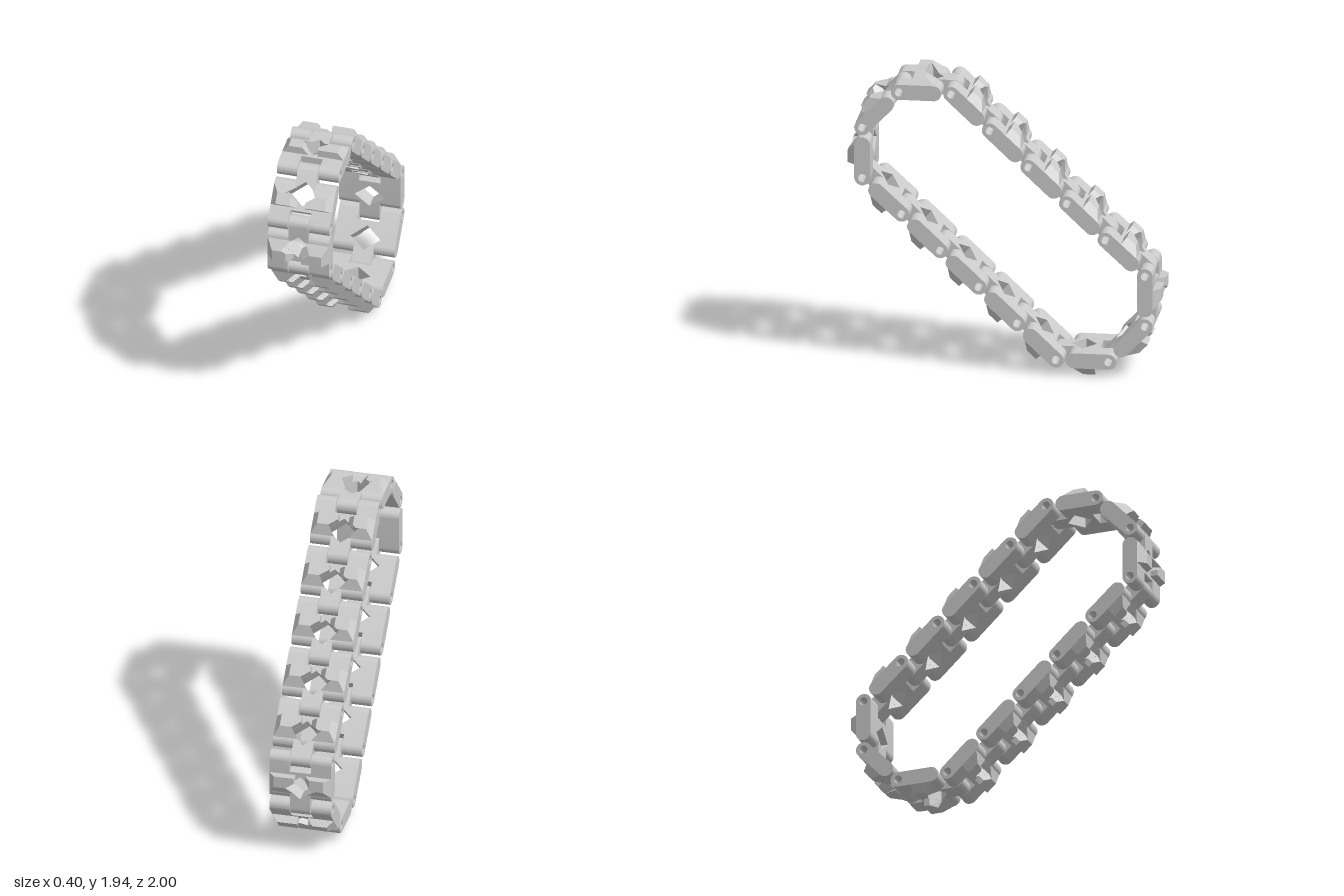
import * as THREE from 'three';
import { toCreasedNormals } from 'three/addons/utils/BufferGeometryUtils.js';

const R = 0.05;      // half thickness of a link
const PIN = 0.027;   // pin hole radius
const PITCH = 0.336; // distance between pins

// Link frame: X runs along the chain, Y points out of the loop, Z is the width.

// Side profile with optional round ends and pin hole, extruded across the width
function bar(s0, s1, z0, z1, { roundStart = false, roundEnd = false, hole = null }) {
  const shape = new THREE.Shape();
  shape.moveTo(s0, -R);
  shape.lineTo(s1, -R);
  if (roundEnd) shape.absarc(s1, 0, R, -Math.PI / 2, Math.PI / 2, false);
  else shape.lineTo(s1, R);
  shape.lineTo(s0, R);
  if (roundStart) shape.absarc(s0, 0, R, Math.PI / 2, Math.PI * 1.5, false);
  if (hole !== null) {
    const h = new THREE.Path();
    h.absarc(hole, 0, PIN, 0, Math.PI * 2, true);
    shape.holes.push(h);
  }
  const g = new THREE.ExtrudeGeometry(shape, { depth: z1 - z0, bevelEnabled: false, curveSegments: 14 });
  g.translate(0, 0, z0);
  return toCreasedNormals(g, 0.6);
}

// Middle plate with a diamond opening
function plateGeometry() {
  const shape = new THREE.Shape([
    [0.068, -0.1], [0.22, -0.1], [0.22, -0.065], [0.285, -0.065],
    [0.285, 0.065], [0.22, 0.065], [0.22, 0.1], [0.068, 0.1],
  ].map(([s, x]) => new THREE.Vector2(s, x)));
  shape.holes.push(new THREE.Path([
    [0.1, 0], [0.18, 0.098], [0.26, 0], [0.18, -0.098], [0.1, 0],
  ].map(([s, x]) => new THREE.Vector2(s, x))));
  const g = new THREE.ExtrudeGeometry(shape, { depth: 2 * R, bevelEnabled: false });
  g.translate(0, 0, -R);
  g.rotateX(Math.PI / 2);
  return g;
}

// Tread pad: a notched block lofted from a base outline to a smaller top, points are [x, s]
function padGeometry(side) {
  const base = [[0.2, 0.088], [0.03, 0.088], [0.03, 0.124], [0.1, 0.18], [0.045, 0.225], [0.2, 0.225]];
  const top = side > 0
    ? [[0.16, 0.088], [0.03, 0.088], [0.03, 0.124], [0.085, 0.165], [0.11, 0.165], [0.16, 0.165]]
    : [[0.16, 0.088], [0.07, 0.088], [0.07, 0.15], [0.09, 0.165], [0.11, 0.165], [0.16, 0.165]];
  if (side > 0) { base.reverse(); top.reverse(); }
  const n = base.length, pos = [], idx = [];
  base.forEach(([x, s]) => pos.push(s, R - 0.001, x * side));
  top.forEach(([x, s]) => pos.push(s, 2 * R, x * side));
  for (let i = 0; i < n; i++) {
    const j = (i + 1) % n;
    idx.push(i, j, n + j, i, n + j, n + i);
    if (i > 0 && i < n - 1) idx.push(n, n + i, n + i + 1);
  }
  const g = new THREE.BufferGeometry();
  g.setAttribute('position', new THREE.Float32BufferAttribute(pos, 3));
  g.setIndex(idx);
  const flat = g.toNonIndexed();
  flat.computeVertexNormals();
  return flat;
}

export function createModel() {
  const model = new THREE.Group();
  model.name = 'trackChain';
  const material = new THREE.MeshStandardMaterial({ color: 0xcccccc });

  // Parts shared by every link
  const parts = [
    ['plate', plateGeometry()],
    ['knuckle', bar(0.285, PITCH, -0.065, 0.065, { roundEnd: true, hole: PITCH })],
  ];
  for (const side of [1, -1]) {
    const across = (a, b) => (side > 0 ? [a, b] : [-b, -a]);
    parts.push(
      ['cheek', bar(0, 0.22, ...across(0.1, 0.2), { roundStart: true, roundEnd: true, hole: 0 })],
      ['pinLug', bar(0, 0.068, ...across(0.07, 0.1), { roundStart: true, hole: 0 })],
      ['roundedShoulder', bar(0.21, 0.22, ...across(0.06, 0.1), { roundEnd: true })],
      ['treadPad', padGeometry(side)],
    );
  }

  // Half of the pin positions [z, y]; the other half is the same path turned by 180 degrees
  const half = [[0.9, 1.255], [0.9, 1.59], [0.667, 1.837]];
  for (let i = 0; i < 5; i++) {
    half.push([0.333 - i * 0.2455, 1.839 - i * 0.231]);
  }
  const midY = 0.97;
  const pins = [...half, ...half.map(([z, y]) => [-z, 2 * midY - y])]
    .map(([z, y]) => new THREE.Vector3(0, y, z));

  // One link between each pair of pins
  const xAxis = new THREE.Vector3(1, 0, 0);
  pins.forEach((pin, i) => {
    const along = pins[(i + 1) % pins.length].clone().sub(pin).normalize();
    const out = xAxis.clone().cross(along);
    const link = new THREE.Group();
    link.name = 'link' + (i + 1);
    for (const [name, geometry] of parts) {
      const mesh = new THREE.Mesh(geometry, material);
      mesh.name = name;
      link.add(mesh);
    }
    link.position.copy(pin);
    link.quaternion.setFromRotationMatrix(new THREE.Matrix4().makeBasis(along, out, xAxis));
    model.add(link);
  });
  return model;
}
